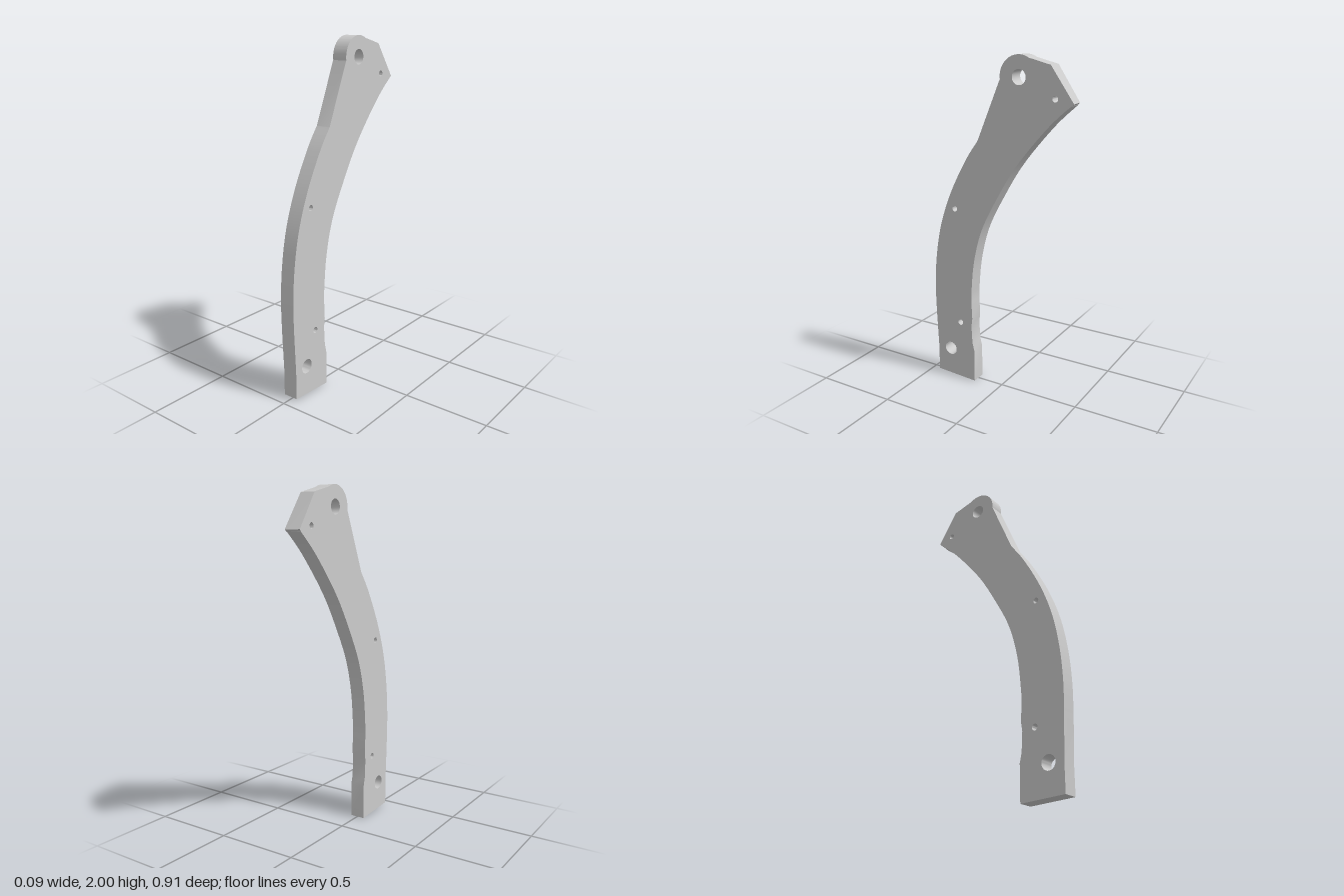
import * as THREE from 'three';
import { toCreasedNormals } from 'three/addons/utils/BufferGeometryUtils.js';

const THICKNESS = 0.09;
const points = (list) => list.map(([z, y]) => new THREE.Vector2(z, y));

// Side profile, drawn with shape x = model z
function armProfile() {
  const s = new THREE.Shape();
  s.moveTo(0.44, 0.015);
  s.lineTo(0.44, 0.18);
  s.lineTo(0.45, 0.4);
  // convex front edge
  s.splineThru(points([[0.453, 0.6], [0.437, 0.8], [0.397, 1.0], [0.323, 1.2], [0.217, 1.4], [0.132, 1.523]]));
  s.lineTo(-0.013, 1.867);
  // rounded pivot lug and angled top
  s.absarc(-0.13, 1.883, 0.117, -0.14, 2.1, false);
  s.lineTo(-0.318, 1.952);
  s.lineTo(-0.451, 1.76);
  // concave rear edge
  s.splineThru(points([[-0.305, 1.625], [-0.12, 1.405], [0.008, 1.2], [0.11, 1.0], [0.165, 0.8], [0.187, 0.6], [0.188, 0.51]]));
  // shallow notch near the foot
  s.lineTo(0.184, 0.42);
  s.lineTo(0.191, 0.37);
  s.lineTo(0.185, 0.26);
  s.lineTo(0.172, 0.205);
  s.lineTo(0.172, 0);
  s.closePath();

  // bolt holes (large) and pin holes (small): z, y, radius
  for (const [z, y, r] of [
    [-0.13, 1.883, 0.042], [0.347, 0.183, 0.042],
    [-0.347, 1.78, 0.017], [0.297, 1.105, 0.017], [0.27, 0.379, 0.018],
  ]) {
    s.holes.push(new THREE.Path().absarc(z, y, r, 0, Math.PI * 2, true));
  }
  return s;
}

export function createModel() {
  const geo = new THREE.ExtrudeGeometry(armProfile(), { depth: THICKNESS, bevelEnabled: false, curveSegments: 16 });
  geo.translate(0, 0, -THICKNESS / 2).rotateY(-Math.PI / 2);

  // slightly skewed rear tip
  const p = geo.attributes.position;
  for (let i = 0; i < p.count; i++) {
    if (p.getZ(i) < -0.44) p.setZ(i, p.getZ(i) - p.getX(i) * 0.09);
  }

  const arm = new THREE.Mesh(toCreasedNormals(geo, 0.45), new THREE.MeshStandardMaterial({ color: 0xcccccc }));
  arm.name = 'curvedArmPlate';
  const model = new THREE.Group();
  model.name = 'curvedArm';
  model.add(arm);
  return model;
}
